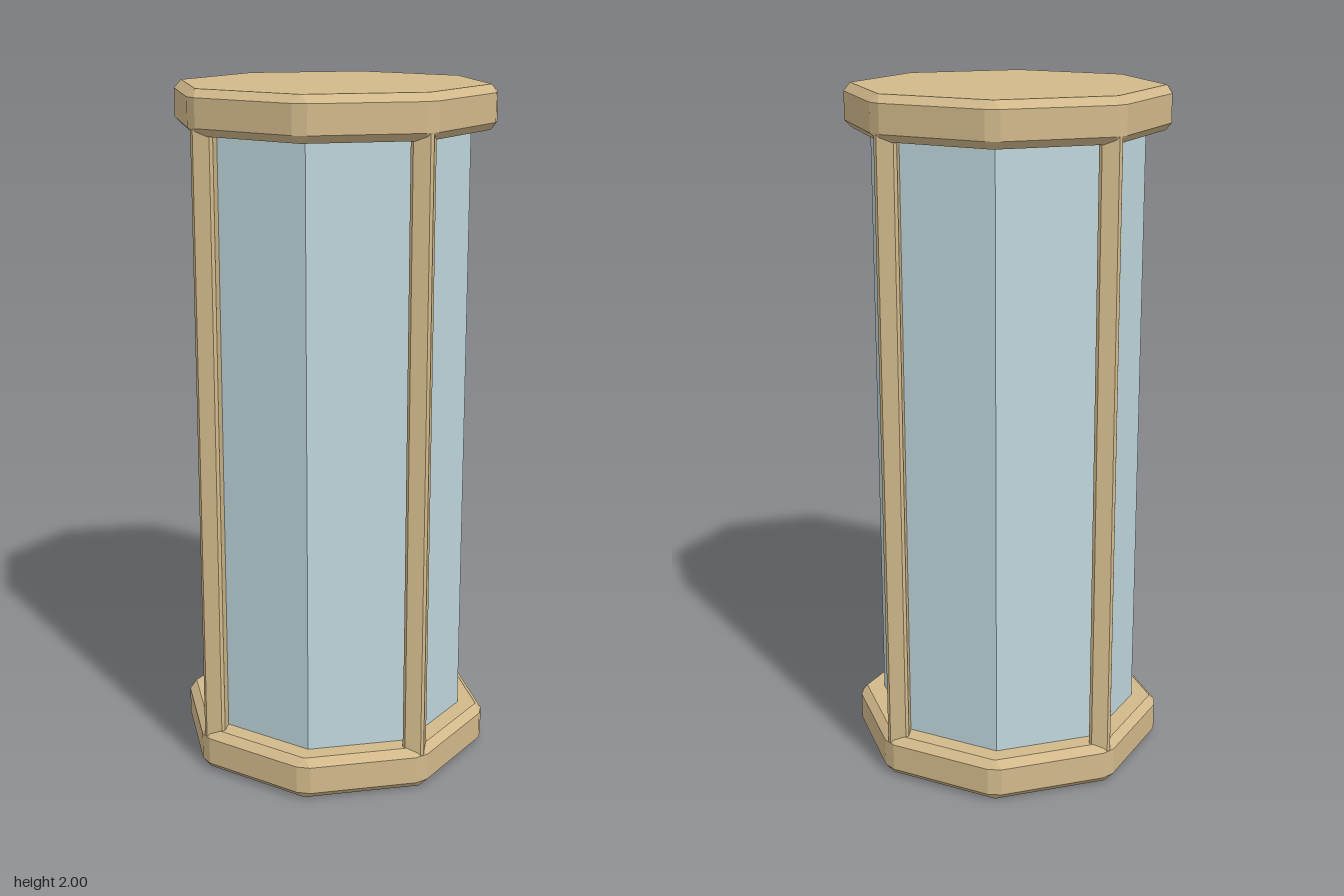
import * as THREE from 'three';
import { ConvexGeometry } from 'three/addons/geometries/ConvexGeometry.js';

// Upright regular prism, centred on the origin, with every edge bevelled once
function bevelledPrism(sides, apothem, height, bevel, phase) {
  const half = Math.PI / sides;
  const radius = apothem / Math.cos(half);
  const inset = (apothem - bevel) / Math.cos(half);
  const corner = (i, r, y) => {
    const a = phase + i * 2 * half;
    return new THREE.Vector3(Math.sin(a) * r, y, Math.cos(a) * r);
  };
  const points = [];
  for (const s of [-1, 1]) {
    for (let i = 0; i < sides; i++) {
      // end face corner
      points.push(corner(i, inset, s * height / 2));
      // side corner, cut back along both neighbouring edges
      const y = s * (height / 2 - bevel);
      const c = corner(i, radius, y);
      for (const step of [-1, 1]) {
        const dir = corner(i + step, radius, y).sub(c).normalize();
        points.push(c.clone().addScaledVector(dir, bevel));
      }
    }
  }
  return new ConvexGeometry(points);
}

export function createModel() {
  const model = new THREE.Group();
  model.name = 'displayCase';

  const wood = new THREE.MeshStandardMaterial({ color: 0xd2b98b, flatShading: true });
  wood.name = 'paleWood';
  const glass = new THREE.MeshStandardMaterial({ color: 0xbfd6dc, flatShading: true });
  glass.name = 'blueGlass';

  const add = (name, geometry, material, x, y, z) => {
    const mesh = new THREE.Mesh(geometry, material);
    mesh.name = name;
    mesh.position.set(x, y, z);
    model.add(mesh);
  };

  // Octagonal base and lid
  const cap = bevelledPrism(8, 0.433, 0.125, 0.022, 0);
  add('base', cap, wood, 0, 0.0625, 0);
  add('lid', cap, wood, 0, 1.9375, 0);

  // Eight-sided glass body
  add('glassBody', new THREE.CylinderGeometry(0.39, 0.39, 1.78, 8), glass, 0, 1, 0);

  // Four square corner posts, just breaking through the cap corners
  const post = bevelledPrism(4, 0.031, 1.87, 0.008, Math.PI / 4);
  for (const x of [-1, 1]) {
    for (const z of [-1, 1]) {
      const name = (z > 0 ? 'front' : 'back') + (x > 0 ? 'Left' : 'Right') + 'Post';
      add(name, post, wood, x * 0.298, 1, z * 0.298);
    }
  }

  return model;
}
